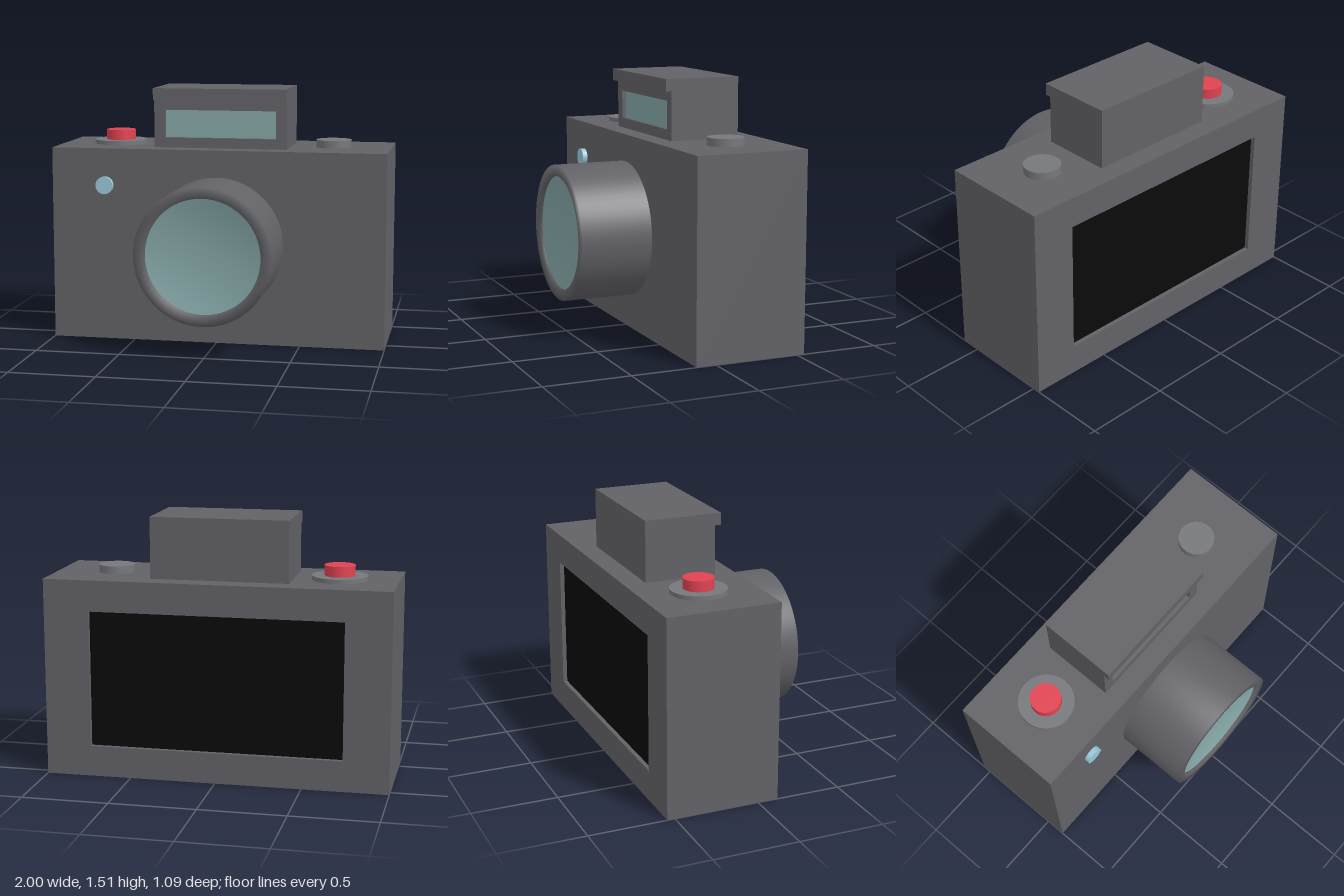
import * as THREE from 'three';

const paint = (color) => new THREE.MeshStandardMaterial({ color });

export function createModel() {
  const model = new THREE.Group();
  const dark = paint(0x626166);
  const metal = paint(0x76777b);
  const glass = paint(0x84a5a5);
  const black = paint(0x0a0a0a);
  const red = paint(0xe04252);
  const lightBlue = paint(0x98c8d8);

  function add(parent, name, geometry, material) {
    const mesh = new THREE.Mesh(geometry, material);
    mesh.name = name;
    parent.add(mesh);
    return mesh;
  }

  // Box given by its lower and upper limits on each axis
  function block(parent, name, material, [x0, x1], [y0, y1], [z0, z1]) {
    const mesh = add(parent, name, new THREE.BoxGeometry(x1 - x0, y1 - y0, z1 - z0), material);
    mesh.position.set((x0 + x1) / 2, (y0 + y1) / 2, (z0 + z1) / 2);
    return mesh;
  }

  // Rectangular frame with a rectangular opening, extruded from z0 to z1
  function frame(parent, name, material, outer, inner, z0, z1) {
    const corners = ([x0, x1, y0, y1]) =>
      [[x0, y0], [x1, y0], [x1, y1], [x0, y1]].map(([x, y]) => new THREE.Vector2(x, y));
    const shape = new THREE.Shape(corners(outer));
    shape.holes.push(new THREE.Path(corners(inner).reverse()));
    const geometry = new THREE.ExtrudeGeometry(shape, { depth: z1 - z0, bevelEnabled: false });
    return add(parent, name, geometry.translate(0, 0, z0), material);
  }

  // Upright disc standing on height y0
  function disc(parent, name, material, r, x, y0, y1, z) {
    const mesh = add(parent, name, new THREE.CylinderGeometry(r, r, y1 - y0, 48), material);
    mesh.position.set(x, (y0 + y1) / 2, z);
    return mesh;
  }

  // Surface turned about the lens axis; points are [radius, z]
  function turned(parent, name, material, points) {
    const profile = points.map(([r, z]) => new THREE.Vector2(r, z));
    const mesh = add(parent, name, new THREE.LatheGeometry(profile, 64).rotateX(Math.PI / 2), material);
    mesh.position.y = 0.595;
    return mesh;
  }

  // Body with a recessed screen at the back
  const body = new THREE.Group();
  body.name = 'body';
  model.add(body);
  block(body, 'bodyShell', dark, [-1, 1], [0, 1.155], [-0.515, 0.12]);
  frame(body, 'screenFrame', dark, [-1, 1, 0, 1.155], [-0.735, 0.735, 0.18, 0.975], -0.545, -0.515);
  block(body, 'screen', black, [-0.735, 0.735], [0.18, 0.975], [-0.519, -0.51]);

  // Viewfinder housing with a recessed window and an overhanging lip
  const finder = new THREE.Group();
  finder.name = 'viewfinder';
  model.add(finder);
  block(finder, 'viewfinderHousing', dark, [-0.4, 0.4], [1.155, 1.51], [-0.42, -0.03]);
  frame(finder, 'windowFrame', dark, [-0.4, 0.4, 1.155, 1.51], [-0.335, 0.335, 1.215, 1.38], -0.03, 0);
  block(finder, 'viewfinderWindow', glass, [-0.335, 0.335], [1.215, 1.38], [-0.04, -0.026]);
  block(finder, 'viewfinderLip', dark, [-0.4, 0.4], [1.44, 1.51], [0, 0.035]);

  // Lens barrel with a shallow dished glass
  const lens = new THREE.Group();
  lens.name = 'lens';
  model.add(lens);
  turned(lens, 'lensBarrel', dark, [[0.4, 0.12], [0.4, 0.545], [0.335, 0.545], [0.335, 0.51]]);
  const dish = [];
  for (let i = 0; i <= 8; i++) {
    const t = 1 - i / 8;
    dish.push([0.335 * t, 0.48 + 0.045 * t * t]);
  }
  turned(lens, 'lensGlass', glass, dish);

  // Shutter button, dial and front lamp
  disc(model, 'shutterBase', metal, 0.16, -0.66, 1.155, 1.18, -0.215);
  disc(model, 'shutterButton', red, 0.088, -0.66, 1.18, 1.24, -0.215);
  disc(model, 'dial', metal, 0.105, 0.655, 1.155, 1.2, -0.215);
  const lamp = add(model, 'frontLamp', new THREE.CylinderGeometry(0.052, 0.052, 0.03, 32), lightBlue);
  lamp.rotation.x = Math.PI / 2;
  lamp.position.set(-0.675, 0.935, 0.135);

  return model;
}
